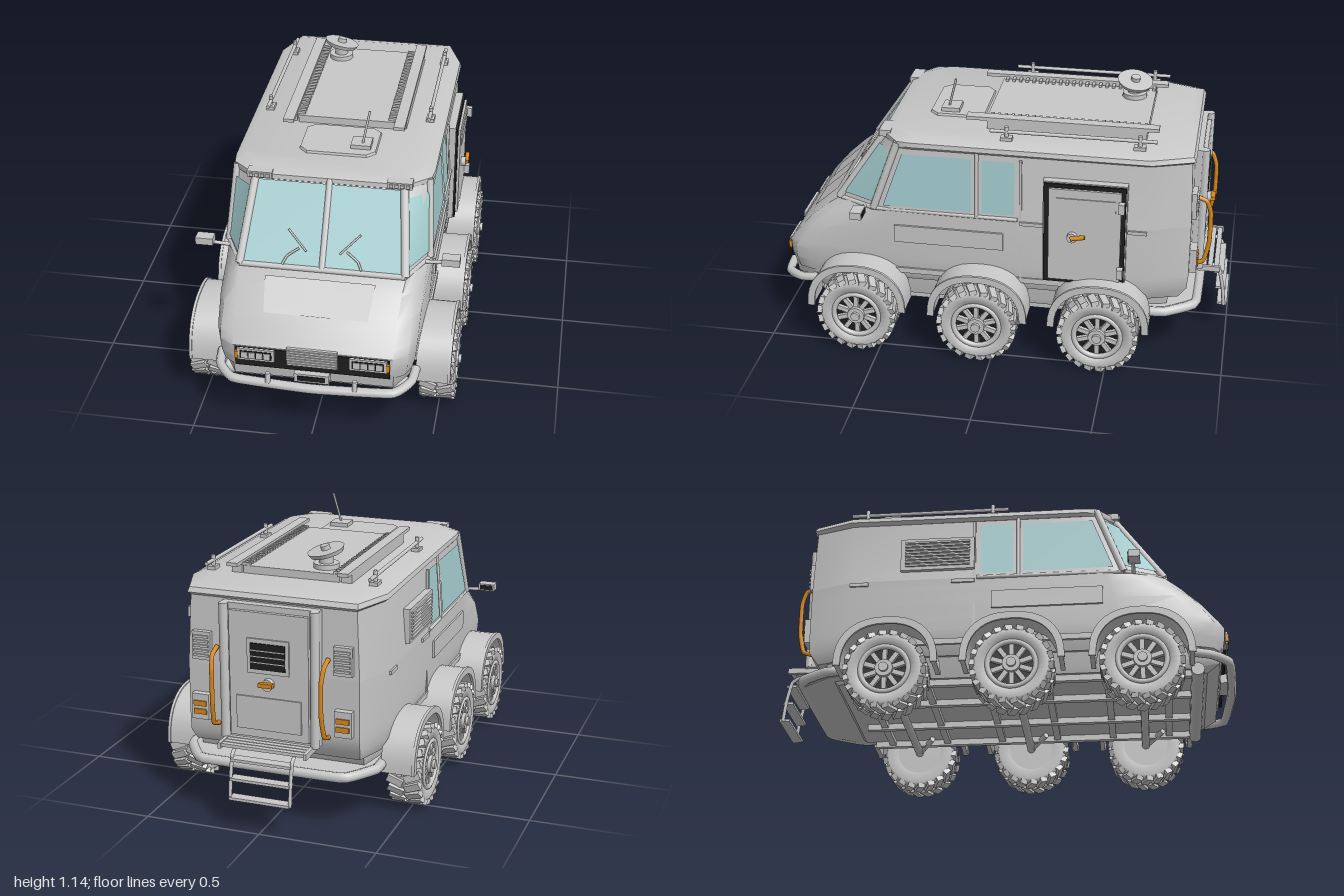
import * as THREE from 'three';
import { toCreasedNormals } from 'three/addons/utils/BufferGeometryUtils.js';

const mat = (name, color) => Object.assign(new THREE.MeshStandardMaterial({ color }), { name });
const V = (x, y, z) => new THREE.Vector3(x, y, z);

export function createModel() {
  const root = new THREE.Group();
  root.name = 'sixWheelCamper';
  const paint = mat('grey paint', 0xc8c8c8);
  const glass = mat('pale teal glass', 0xa4cdcf);
  const black = mat('black trim', 0x1e1e1e);
  const orange = mat('orange', 0xd8891c);
  glass.side = THREE.DoubleSide;

  const add = (name, geo, m, parent = root) => {
    const mesh = new THREE.Mesh(geo, m);
    mesh.name = name;
    parent.add(mesh);
    return mesh;
  };
  const box = (name, m, w, h, d, x, y, z, parent) => {
    const b = add(name, new THREE.BoxGeometry(w, h, d), m, parent);
    b.position.set(x, y, z);
    return b;
  };
  // Round bar between two points
  const bar = (name, m, p, q, r, parent) => {
    const d = q.clone().sub(p);
    const b = add(name, new THREE.CylinderGeometry(r, r, d.length(), r > 0.05 ? 28 : 12), m, parent);
    b.position.copy(p).lerp(q, 0.5);
    b.quaternion.setFromUnitVectors(V(0, 1, 0), d.normalize());
    return b;
  };
  const tube = (name, m, pts, r, tension = 0.2) => add(name, new THREE.TubeGeometry(
    new THREE.CatmullRomCurve3(pts, false, 'catmullrom', tension), 40, r, 8), m);
  const both = (fn) => [1, -1].forEach(fn);

  // Hull from horizontal rings: [y, then x, z for each corner from front to back of the +x half]
  const loft = (name, m, rings) => {
    const loops = rings.map(([y, ...c]) => {
      const half = [];
      for (let i = 0; i < c.length; i += 2) half.push(V(c[i], y, c[i + 1]));
      return [...half, ...half.map(p => V(-p.x, y, p.z)).reverse()];
    });
    const pts = [], tri = (...t) => pts.push(...t), n = loops[0].length;
    for (let k = 0; k + 1 < loops.length; k++) for (let i = 0; i < n; i++) {
      const j = (i + 1) % n, a = loops[k], b = loops[k + 1];
      tri(a[i], a[j], b[j], a[i], b[j], b[i]);
    }
    const lo = loops[0], hi = loops[loops.length - 1];
    for (let i = 1; i + 1 < n; i++) tri(hi[0], hi[i], hi[i + 1], lo[0], lo[i + 1], lo[i]);
    const g = new THREE.BufferGeometry().setFromPoints(pts);
    return add(name, toCreasedNormals(g, 0.62), m);
  };
  // Pane shrunk towards its middle and lifted off the hull, smooth across its diagonal
  const pane = (name, m, quad, shrink, lift) => {
    const c = quad.reduce((s, p) => s.add(p), V(0, 0, 0)).multiplyScalar(0.25);
    const nrm = quad[1].clone().sub(quad[0]).cross(quad[3].clone().sub(quad[0])).normalize();
    let q = quad;
    if (nrm.dot(V(c.x, 0, c.z)) < 0) { nrm.negate(); q = [...quad].reverse(); }
    q = q.map(p => p.clone().lerp(c, shrink).addScaledVector(nrm, lift));
    const g = new THREE.BufferGeometry().setFromPoints(q).setIndex([0, 1, 2, 0, 2, 3]);
    g.computeVertexNormals();
    return add(name, g, m);
  };

  // Chassis, rounded nose and body, cab and roof
  loft('chassis', paint, [
    [0.2, 0.32, 0.86, 0.375, 0.78, 0.375, 0.5, 0.375, -0.6, 0.34, -0.7],
    [0.24, 0.33, 0.915, 0.39, 0.81, 0.385, 0.5, 0.385, -0.62, 0.36, -0.74],
    [0.34, 0.335, 0.93, 0.4, 0.82, 0.4, 0.5, 0.4, -0.64, 0.36, -0.76]]);
  loft('lowerBody', paint, [
    [0.29, 0.32, 0.928, 0.375, 0.89, 0.398, 0.83, 0.405, 0.5, 0.405, -0.65, 0.36, -0.79],
    [0.34, 0.33, 0.938, 0.385, 0.9, 0.41, 0.83, 0.425, 0.5, 0.43, -0.65, 0.37, -0.825],
    [0.4, 0.33, 0.942, 0.39, 0.9, 0.415, 0.83, 0.428, 0.5, 0.433, -0.65, 0.37, -0.83],
    [0.43, 0.33, 0.922, 0.392, 0.878, 0.417, 0.81, 0.43, 0.5, 0.434, -0.65, 0.37, -0.83],
    [0.52, 0.335, 0.845, 0.39, 0.81, 0.42, 0.74, 0.433, 0.49, 0.435, -0.65, 0.37, -0.83],
    [0.59, 0.34, 0.768, 0.385, 0.72, 0.42, 0.63, 0.434, 0.47, 0.435, -0.65, 0.37, -0.83],
    [0.64, 0.35, 0.7, 0.38, 0.65, 0.426, 0.53, 0.434, 0.45, 0.435, -0.65, 0.37, -0.83]]);
  loft('cab', paint, [
    [0.64, 0.345, 0.7, 0.426, 0.53, 0.434, 0.45, 0.435, -0.65, 0.37, -0.83],
    [0.95, 0.31, 0.49, 0.405, 0.42, 0.41, 0.36, 0.41, -0.65, 0.355, -0.82]]);
  loft('roof', paint, [
    [0.925, 0.31, 0.49, 0.408, 0.42, 0.413, 0.36, 0.413, -0.65, 0.355, -0.82],
    [0.938, 0.32, 0.503, 0.416, 0.42, 0.425, 0.36, 0.43, -0.66, 0.365, -0.835],
    [0.958, 0.32, 0.5, 0.415, 0.42, 0.423, 0.36, 0.425, -0.65, 0.36, -0.825],
    [0.975, 0.3, 0.46, 0.38, 0.37, 0.39, 0.34, 0.39, -0.62, 0.33, -0.77]]);

  // Windscreen, corner and side windows with pillars
  const A = (t, s) => V(s * (0.345 - 0.035 * t), 0.64 + 0.31 * t, 0.7 - 0.21 * t);
  const B = (t, s) => V(s * (0.426 - 0.021 * t), 0.64 + 0.31 * t, 0.53 - 0.11 * t);
  const side = (y, z, s) => V(s * (0.4345 - 0.0245 * (y - 0.64) / 0.31), y, z);
  both(s => {
    const mid = t => V(0, A(t, s).y, A(t, s).z);
    pane('windscreen', glass, [mid(0.01), A(0.01, s), A(0.96, s), mid(0.96)], 0.035, 0.006);
    pane('cornerWindow', glass, [A(0.05, s), B(0.05, s), B(0.88, s), A(0.88, s)], 0.08, 0.008);
    pane('frontSideWindow', glass, [side(0.66, 0.485, s), side(0.66, 0.1, s), side(0.9, 0.1, s), side(0.9, 0.4, s)], 0, 0.004);
    pane('rearSideWindow', glass, [side(0.66, 0.055, s), side(0.66, -0.085, s), side(0.9, -0.085, s), side(0.9, 0.055, s)], 0, 0.004);
    bar('frontPillar', paint, A(0, s), A(1, s), 0.018);
    bar('doorPillar', paint, B(0, s), B(1, s), 0.016);
    bar('sidePillar', paint, side(0.64, 0.078, s), side(0.94, 0.078, s), 0.008);
    bar('windowSill', paint, B(0, s), V(s * 0.4345, 0.64, -0.1), 0.009);
    bar('cornerSill', paint, A(0, s), B(0, s), 0.01);
    // Wipers
    tube('wiperArm', paint, [V(s * 0.165, 0.655, 0.705), V(s * 0.147, 0.685, 0.685), V(s * 0.1, 0.715, 0.666)], 0.005);
    bar('wiperBlade', paint, V(s * 0.15, 0.775, 0.622), V(s * 0.07, 0.705, 0.67), 0.004);
    // Side mirrors
    bar('mirrorArm', paint, V(s * 0.41, 0.64, 0.57), V(s * 0.5, 0.645, 0.57), 0.008);
    box('mirror', paint, 0.075, 0.032, 0.05, s * 0.52, 0.66, 0.575);
    box('mirrorGlass', black, 0.06, 0.022, 0.004, s * 0.52, 0.66, 0.549);
    // Body side seams and panels
    box('sidePanel', paint, 0.03, 0.08, 0.475, s * 0.428, 0.53, 0.2);
    box('rearSeam', paint, 0.012, 0.57, 0.012, s * 0.428, 0.63, -0.112);
    box('sideMoulding', paint, 0.02, 0.016, 0.1, s * 0.433, 0.625, -0.16);
    box('rearMoulding', paint, 0.02, 0.016, 0.08, s * 0.433, 0.625, -0.61);
    box('sideSkirt', paint, 0.02, 0.025, 1.1, s * 0.425, 0.345, -0.06);
  });
  bar('screenDivider', paint, V(0, 0.64, 0.7), V(0, 0.95, 0.49), 0.014);
  bar('screenSill', paint, A(0, 1), A(0, -1), 0.013);
  pane('bonnetPanel', paint, [V(-0.215, 0.51, 0.854), V(0.215, 0.51, 0.854), V(0.23, 0.615, 0.738), V(-0.23, 0.615, 0.738)], 0, 0.005);
  pane('bonnetFlap', paint, [V(-0.06, 0.51, 0.854), V(0.06, 0.51, 0.854), V(0.065, 0.615, 0.738), V(-0.065, 0.615, 0.738)], 0, 0.008);

  // Nose: grille, headlamps, number plate holder
  box('grillePanel', black, 0.64, 0.09, 0.02, 0, 0.35, 0.936);
  for (let i = 0; i < 7; i++) box('grilleSlat', paint, 0.21, 0.009, 0.012, 0, 0.333 + i * 0.0125, 0.945);
  both(s => {
    box('headlampHousing', paint, 0.155, 0.056, 0.03, s * 0.232, 0.366, 0.94);
    box('headlampRecess', black, 0.132, 0.038, 0.008, s * 0.232, 0.366, 0.953);
    for (let i = 0; i < 4; i++) box('headlamp', paint, 0.026, 0.028, 0.008, s * (0.185 + i * 0.031), 0.366, 0.956);
    box('indicator', orange, 0.014, 0.034, 0.04, s * 0.313, 0.362, 0.938);
    bar('overrider', paint, V(s * 0.18, 0.25, 0.975), V(s * 0.18, 0.295, 0.97), 0.011);
  });
  box('plateHolder', paint, 0.145, 0.04, 0.04, 0, 0.28, 0.945);
  box('plate', black, 0.115, 0.022, 0.006, 0, 0.28, 0.966);
  tube('frontBumper', paint, [V(-0.41, 0.26, 0.8), V(-0.4, 0.25, 0.88), V(-0.33, 0.24, 0.955), V(0, 0.238, 0.975),
    V(0.33, 0.24, 0.955), V(0.4, 0.25, 0.88), V(0.41, 0.26, 0.8)], 0.02);
  bar('lowerBeam', paint, V(-0.39, 0.194, 0.82), V(0.39, 0.194, 0.82), 0.028);

  // Roof lamps, hatch and antenna
  both(s => {
    box('roofLampBar', paint, 0.105, 0.028, 0.05, s * 0.292, 0.957, 0.488);
    for (let i = 0; i < 4; i++) box('roofLamp', paint, 0.016, 0.016, 0.008, s * (0.257 + i * 0.023), 0.957, 0.515);
  });
  loft('roofHatch', paint, [
    [0.97, 0.13, 0.335, 0.165, 0.3, 0.165, 0.12, 0.13, 0.09],
    [0.985, 0.125, 0.33, 0.16, 0.295, 0.16, 0.125, 0.125, 0.095]]);
  box('antennaBase', paint, 0.085, 0.025, 0.08, 0.095, 0.99, 0.245);
  bar('antenna', paint, V(0.1, 0.995, 0.257), V(0.125, 1.135, 0.22), 0.005);

  // Roof rack with toothed rails, and long grab rails
  box('roofPlatform', paint, 0.42, 0.035, 0.69, 0, 0.99, -0.275);
  both(s => {
    box('rackRail', paint, 0.047, 0.015, 0.82, s * 0.24, 1.02, -0.26);
    box('rackBase', paint, 0.044, 0.045, 0.68, s * 0.24, 0.992, -0.28);
    for (let i = 0; i < 23; i++) box('rackTooth', paint, 0.035, 0.012, 0.013, s * 0.2, 1.012, 0.05 - i * 0.03);
    bar('roofRail', paint, V(s * 0.355, 1.012, 0.03), V(s * 0.355, 1.012, -0.67), 0.008);
    [-0.6, -0.04].forEach(z => {
      bar('roofRailPost', paint, V(s * 0.355, 0.965, z), V(s * 0.355, 1.035, z), 0.009);
      box('roofRailFoot', paint, 0.035, 0.02, 0.05, s * 0.355, 0.98, z);
    });
  });

  // Satellite dish
  const dish = new THREE.Group();
  dish.name = 'satelliteDish';
  dish.position.set(-0.12, 1.02, -0.53);
  root.add(dish);
  bar('dishPedestal', paint, V(0, -0.02, 0), V(0, 0.008, 0), 0.053, dish);
  bar('dishMast', paint, V(0, 0, 0), V(0, 0.05, 0), 0.03, dish);
  const plate = add('dishPlate', new THREE.CylinderGeometry(0.078, 0.07, 0.018, 28), paint, dish);
  const knob = add('dishKnob', new THREE.CylinderGeometry(0.02, 0.02, 0.03, 14), paint, plate);
  plate.position.y = 0.055;
  plate.rotation.set(-0.15, 0, -0.22);
  knob.position.y = 0.012;

  // Side entrance door
  box('doorSurround', paint, 0.04, 0.475, 0.355, 0.433, 0.607, -0.388);
  box('doorGasket', black, 0.03, 0.465, 0.345, 0.448, 0.607, -0.388);
  box('sideDoor', paint, 0.05, 0.43, 0.305, 0.449, 0.607, -0.39);
  box('doorTopPanel', paint, 0.01, 0.055, 0.25, 0.474, 0.755, -0.395);
  [0.45, 0.76].forEach(y => box('doorHinge', paint, 0.03, 0.045, 0.025, 0.485, y, -0.545));
  bar('handleHub', paint, V(0.47, 0.605, -0.34), V(0.495, 0.605, -0.34), 0.022);
  bar('doorHandle', orange, V(0.498, 0.605, -0.335), V(0.498, 0.617, -0.395), 0.01);

  // Louvred vent on the opposite side
  box('sideVent', paint, 0.03, 0.15, 0.32, -0.435, 0.755, -0.27);
  for (let i = 0; i < 8; i++) box('ventSlat', paint, 0.012, 0.008, 0.28, -0.452, 0.7 + i * 0.0157, -0.27);

  // Rear door with posts, window, handle and grab rails
  box('rearDoorFrame', paint, 0.42, 0.57, 0.06, 0, 0.635, -0.825);
  box('rearDoor', paint, 0.34, 0.53, 0.04, 0, 0.63, -0.852);
  box('rearWindowFrame', paint, 0.18, 0.145, 0.02, 0, 0.715, -0.87);
  box('rearWindow', black, 0.15, 0.11, 0.008, 0, 0.715, -0.88);
  for (let i = 0; i < 3; i++) box('rearWindowSlat', paint, 0.15, 0.004, 0.006, 0, 0.69 + i * 0.025, -0.883);
  box('rearLowerPanel', paint, 0.28, 0.14, 0.01, 0, 0.47, -0.874);
  bar('rearHandleHub', paint, V(0, 0.6, -0.86), V(0, 0.6, -0.895), 0.025);
  box('rearHandle', orange, 0.06, 0.018, 0.02, 0, 0.605, -0.905);
  both(s => {
    bar('doorPost', paint, V(s * 0.195, 0.35, -0.865), V(s * 0.195, 0.92, -0.865), 0.019);
    tube('grabRail', orange, [V(s * 0.24, 0.39, -0.835), V(s * 0.24, 0.41, -0.885), V(s * 0.235, 0.5, -0.905),
      V(s * 0.235, 0.64, -0.905), V(s * 0.24, 0.7, -0.885), V(s * 0.24, 0.72, -0.835)], 0.01);
    box('rearVent', paint, 0.08, 0.12, 0.025, s * 0.305, 0.72, -0.835);
    for (let i = 0; i < 5; i++) box('rearVentSlat', paint, 0.065, 0.01, 0.01, s * 0.305, 0.68 + i * 0.02, -0.85);
    box('tailLampHousing', paint, 0.075, 0.11, 0.04, s * 0.31, 0.46, -0.84);
    [0.44, 0.475].forEach(y => box('tailLamp', orange, 0.055, 0.022, 0.008, s * 0.31, y, -0.862));
  });

  // Rear bumper, step platform and ladder
  loft('rearBumper', paint, [
    [0.215, 0.4, -0.62, 0.4, -0.72, 0.3, -0.86],
    [0.25, 0.41, -0.61, 0.41, -0.73, 0.31, -0.87]]);
  tube('rearBumperRim', paint, [V(-0.41, 0.235, -0.62), V(-0.41, 0.235, -0.73), V(-0.31, 0.235, -0.865),
    V(0.31, 0.235, -0.865), V(0.41, 0.235, -0.73), V(0.41, 0.235, -0.62)], 0.022, 0.1);
  for (let i = 0; i < 5; i++) box('stepPlatformSlat', paint, 0.37, 0.014, 0.022, 0, 0.345, -0.835 - i * 0.027);
  both(s => {
    box('platformEdge', paint, 0.014, 0.025, 0.14, s * 0.185, 0.343, -0.89);
    tube('ladderRail', paint, [V(s * 0.13, 0.335, -0.92), V(s * 0.13, 0.31, -0.955), V(s * 0.13, 0.22, -0.975), V(s * 0.13, 0.13, -0.985)], 0.008);
  });
  [0.295, 0.215, 0.135].forEach((y, i) => box('ladderTread', paint, 0.26, 0.012, 0.045, 0, y, -0.955 - i * 0.011));

  // Underframe grid
  [-0.35, -0.13, 0.13, 0.35].forEach(x => box('frameRail', paint, 0.025, 0.03, 1.45, x, 0.188, 0.07));
  for (let i = 0; i < 6; i++) box('frameCrossbar', paint, 0.72, 0.022, 0.03, 0, 0.191, 0.7 - i * 0.255);

  // Wheels: lathed tyre, staggered tread, spoked rim
  const wheel = new THREE.Group();
  wheel.name = 'wheel';
  const prof = [[0.1, -0.066], [0.148, -0.072], [0.162, -0.06], [0.162, 0.06], [0.148, 0.072], [0.108, 0.066], [0.104, 0.035]];
  add('tyre', new THREE.LatheGeometry(prof.map(p => new THREE.Vector2(...p)), 36).rotateZ(-Math.PI / 2), paint, wheel);
  for (let i = 0; i < 44; i++) {
    const s = i % 2 ? 1 : -1, a = i / 44 * Math.PI * 2;
    const lug = box('treadBlock', paint, 0.07, 0.022, 0.032, s * 0.037, 0, 0, wheel);
    lug.geometry.rotateY(s * 0.4);
    lug.position.y = Math.cos(a) * 0.163;
    lug.position.z = Math.sin(a) * 0.163;
    lug.rotation.x = a;
  }
  bar('wheelBack', paint, V(-0.06, 0, 0), V(0.03, 0, 0), 0.104, wheel);
  bar('wheelWell', black, V(0.03, 0, 0), V(0.038, 0, 0), 0.104, wheel);
  const rim = add('rim', new THREE.TorusGeometry(0.1, 0.012, 8, 30), paint, wheel);
  rim.rotation.y = Math.PI / 2;
  rim.position.x = 0.062;
  for (let i = 0; i < 10; i++) {
    const a = i / 10 * Math.PI * 2;
    const spoke = box('spoke', paint, 0.018, 0.075, 0.02, 0.054, Math.cos(a) * 0.062, Math.sin(a) * 0.062, wheel);
    spoke.rotation.x = a;
  }
  bar('hub', paint, V(0.03, 0, 0), V(0.078, 0, 0), 0.038, wheel);
  bar('hubCap', paint, V(0.07, 0, 0), V(0.09, 0, 0), 0.02, wheel);

  // Arched mudguard
  const arch = (rx, ry) => Array.from({ length: 19 }, (_, i) => {
    const a = i / 18 * Math.PI, c = Math.cos(a);
    return new THREE.Vector2(Math.sign(c) * Math.abs(c) ** 0.85 * rx, 0.2 + ry * Math.sin(a) ** 0.85);
  });
  const guard = (rx, ry, t, depth) => toCreasedNormals(new THREE.ExtrudeGeometry(
    new THREE.Shape([...arch(rx, ry), ...arch(rx - t, ry - t).reverse()]), { depth, bevelEnabled: false }).rotateY(Math.PI / 2), 0.6);
  const guardGeo = guard(0.213, 0.208, 0.02, 0.135), lipGeo = guard(0.218, 0.213, 0.03, 0.012);

  [0.593, 0.06, -0.465].forEach(z => {
    bar('axle', paint, V(-0.45, 0.173, z), V(0.45, 0.173, z), 0.018);
    both(s => {
      const w = wheel.clone();
      w.position.set(s * 0.493, 0.174, z);
      if (s < 0) w.rotation.y = Math.PI;
      root.add(w);
      add('mudguard', guardGeo, paint).position.set(s > 0 ? 0.41 : -0.545, 0, z);
      add('mudguardLip', lipGeo, paint).position.set(s > 0 ? 0.543 : -0.555, 0, z);
      bar('suspensionArm', paint, V(s * 0.3, 0.19, z + 0.08), V(s * 0.43, 0.17, z), 0.012);
    });
  });
  return root;
}
